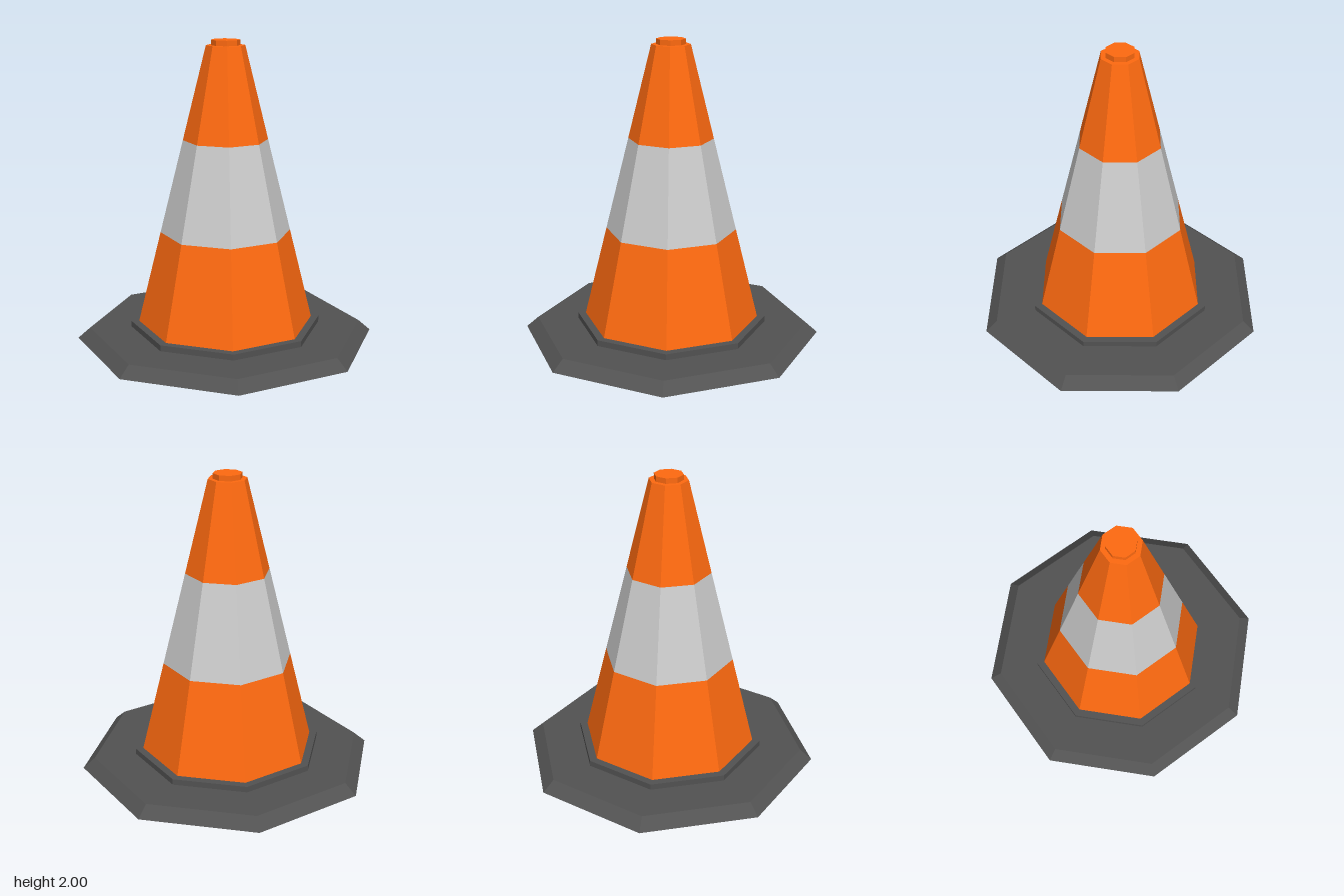
import * as THREE from 'three';

const SIDES = 8;

// Faceted eight-sided part turned from a [radius, height] profile, bottom to top
function turned(name, color, profile) {
  const points = profile.map(([r, y]) => new THREE.Vector2(r, y));
  const material = new THREE.MeshStandardMaterial({ color, flatShading: true });
  const mesh = new THREE.Mesh(new THREE.LatheGeometry(points, SIDES), material);
  mesh.name = name;
  return mesh;
}

export function createModel() {
  const group = new THREE.Group();
  group.name = 'trafficCone';
  const orange = 0xff6a10, grey = 0xcccccc, rubber = 0x525252;

  group.add(
    // Bevelled foot plate with a closed underside
    turned('basePlate', rubber, [[0, 0], [1, 0], [0.92, 0.07], [0, 0.07]]),
    // Raised collar around the foot of the cone
    turned('baseCollar', rubber, [[0.64, 0.07], [0.64, 0.11], [0, 0.11]]),
    // Cone body in three bands
    turned('lowerBand', orange, [[0.588, 0.11], [0.434, 0.73]]),
    turned('reflectiveBand', grey, [[0.434, 0.73], [0.28, 1.35]]),
    turned('upperBand', orange, [[0.28, 1.35], [0.127, 1.965], [0.095, 1.965]]),
    // Small stub closing the tip
    turned('tipCap', orange, [[0.095, 1.965], [0.095, 2], [0, 2]])
  );
  return group;
}
